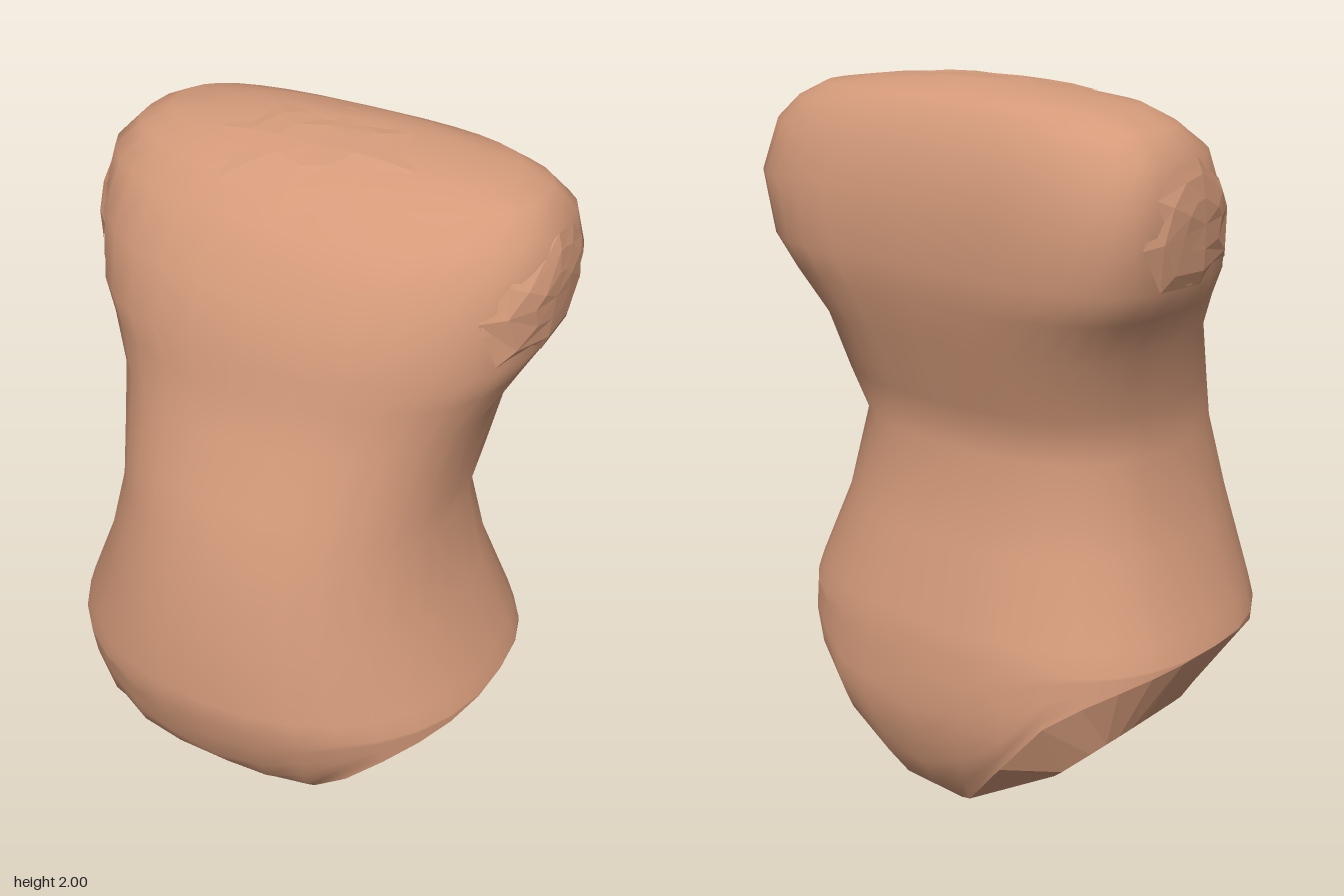
import * as THREE from 'three';

// Horizontal sections: y, half width, front z, back z, centre z, back squareness
const SECTIONS = [
  [0, 0.3, -0.05, -0.33, -0.19, 2.3],
  [0.04, 0.4, 0.1, -0.39, -0.15, 2.3],
  [0.13, 0.52, 0.28, -0.47, -0.1, 2.4],
  [0.35, 0.64, 0.48, -0.535, -0.04, 2.5],
  [0.56, 0.632, 0.54, -0.515, -0.03, 2.5],
  [0.62, 0.61, 0.54, -0.5, -0.03, 2.5],
  [0.83, 0.52, 0.525, -0.44, -0.02, 2.5],
  [1.07, 0.465, 0.465, -0.37, -0.02, 2.6],
  [1.2, 0.485, 0.415, -0.41, -0.06, 2.8],
  [1.36, 0.51, 0.35, -0.455, -0.1, 3],
  [1.48, 0.575, 0.31, -0.49, -0.15, 3.4],
  [1.56, 0.62, 0.3, -0.5, -0.18, 3.8],
  [1.73, 0.638, 0.25, -0.51, -0.2, 4],
  [1.86, 0.62, 0.14, -0.465, -0.2, 3.6],
  [1.92, 0.56, 0.05, -0.435, -0.21, 3.2],
  [1.96, 0.48, -0.02, -0.4, -0.22, 2.8],
  [1.985, 0.3, -0.1, -0.345, -0.23, 2.4],
  [2, 0.1, -0.2, -0.28, -0.24, 2],
];
// Leg opening: x of the cut at each height
const LEG_CUT = [[0, 0], [0.08, 0.11], [0.18, 0.2], [0.27, 0.28], [0.4, 0.38], [0.49, 0.5], [0.56, 0.632]];
const LEG_TOP = 0.56, HALF = 16, COLS = HALF * 2, LOW_ROWS = 6, FRONT_N = 2.2;

function lookup(table, y) {
  let i = 1;
  while (i < table.length - 1 && table[i][0] < y) i++;
  const a = table[i - 1], b = table[i];
  const t = THREE.MathUtils.clamp((y - a[0]) / (b[0] - a[0]), 0, 1);
  return a.map((v, k) => v + (b[k] - v) * t);
}

// Point on the torso at an angle (0 = front, PI/2 = left side) and height
function surface(angle, y) {
  const [, w, zf, zb, zc, nb] = lookup(SECTIONS, y);
  const s = Math.sin(angle), c = Math.cos(angle);
  const n = c >= 0 ? FRONT_N : nb;
  const x = Math.sign(s) * w * Math.abs(s) ** (2 / n);
  const z = zc + (c >= 0 ? zf - zc : zb - zc) * Math.abs(c) ** (2 / n);
  return [Math.abs(s) < 1e-6 ? 0 : x, y, z];
}

// Half width of the torso at a given height and depth
function sideX(y, z) {
  const [, w, zf, zb, zc, nb] = lookup(SECTIONS, y);
  const front = z >= zc, n = front ? FRONT_N : nb;
  const t = (z - zc) / (front ? zf - zc : zb - zc);
  return t >= 1 ? -1 : w * (1 - t ** n) ** (1 / n);
}

// Height of the torso's upper surface above a point
function topY(x, z) {
  let lo = 1.6, hi = 2;
  for (let i = 0; i < 30; i++) {
    const mid = (lo + hi) / 2;
    if (sideX(mid, z) >= Math.abs(x)) lo = mid; else hi = mid;
  }
  return lo;
}

// Lowest height of a column, where it meets the leg opening
function columnStart(angle) {
  let lo = 0, hi = LEG_TOP;
  if (Math.abs(Math.sin(angle)) < 1e-6) return 0;
  for (let i = 0; i < 30; i++) {
    const mid = (lo + hi) / 2;
    if (Math.abs(surface(angle, mid)[0]) > lookup(LEG_CUT, mid)[1]) lo = mid; else hi = mid;
  }
  return lo;
}

function makeGeometry(points, index, faceted) {
  let g = new THREE.BufferGeometry();
  g.setAttribute('position', new THREE.Float32BufferAttribute(points.flat(), 3));
  g.setIndex(index);
  if (faceted) g = g.toNonIndexed();
  g.computeVertexNormals();
  return g;
}

// Smooth body skin
function torsoGeometry() {
  const points = [], index = [];
  const upper = SECTIONS.map(s => s[0]).filter(y => y > LEG_TOP);
  const rows = LOW_ROWS + 1 + upper.length;
  for (let i = 0; i < rows; i++) {
    for (let j = 0; j < COLS; j++) {
      const angle = j / COLS * Math.PI * 2, y0 = columnStart(angle);
      const y = i <= LOW_ROWS ? y0 + (LEG_TOP - y0) * i / LOW_ROWS : upper[i - LOW_ROWS - 1];
      points.push(surface(angle, y));
    }
  }
  for (let i = 0; i < rows - 1; i++) {
    for (let j = 0; j < COLS; j++) {
      const k = (j + 1) % COLS, a = i * COLS + j, b = i * COLS + k;
      index.push(a, b, b + COLS, a, b + COLS, a + COLS);
    }
  }
  const pole = points.push([0, 2, -0.24]) - 1, last = (rows - 1) * COLS;
  for (let j = 0; j < COLS; j++) index.push(last + j, last + (j + 1) % COLS, pole);
  return makeGeometry(points, index, false);
}

// Faceted cap from closed loops (outermost first) ending in a centre point
function capGeometry(loops, centre, flip) {
  const n = loops[0].length, points = [...loops.flat(), centre], index = [];
  const tri = (a, b, c) => flip ? index.push(a, c, b) : index.push(a, b, c);
  loops.forEach((_, r) => {
    for (let j = 0; j < n; j++) {
      const a = r * n + j, b = r * n + (j + 1) % n;
      if (r === loops.length - 1) tri(a, b, points.length - 1);
      else {
        tri(a, b, b + n);
        tri(a, b + n, a + n);
      }
    }
  });
  return makeGeometry(points, index, true);
}

// Shallow dome that closes a leg opening
function legCap(side) {
  const rim = [];
  for (let j = 0; j <= HALF; j++) {
    const angle = j / HALF * Math.PI;
    rim.push(surface(angle, columnStart(angle)));
  }
  const zf = rim[0][2], zb = rim[HALF][2];
  for (let k = 1; k < 4; k++) rim.push([0, 0, zb + (zf - zb) * k / 4]);
  const inner = rim.map(([, y, z]) => {
    const a = Math.atan2((y - 0.28) / 0.28, (z + 0.05) / 0.48);
    return [0.405 + 0.125 * Math.sin(a), 0.26 + 0.115 * Math.sin(a), -0.14 + 0.235 * Math.cos(a)];
  });
  const mirror = p => [p[0] * side, p[1], p[2]];
  return capGeometry([rim.map(mirror), inner.map(mirror)], mirror([0.405, 0.255, -0.14]), side > 0);
}

// Faceted patch over an arm joint
function armCap(side) {
  const rim = [[1.86, -0.17], [1.78, 0.0], [1.71, 0.08], [1.58, 0.04], [1.55, -0.14],
    [1.56, -0.3], [1.67, -0.37], [1.78, -0.33], [1.845, -0.26]];
  const at = (y, z, lift) => [side * (sideX(y, z) + lift), y, z];
  const loop = (s, lift) => rim.map(([y, z]) => at(1.7 + (y - 1.7) * s, -0.15 + (z + 0.15) * s, lift));
  return capGeometry([loop(1, 0.002), loop(0.75, 0.009), loop(0.4, 0.008)], at(1.7, -0.15, 0.005), side < 0);
}

// Faceted patch over the neck joint
function neckCap() {
  const loop = (s, lift) => Array.from({ length: 8 }, (_, k) => {
    const a = k / 8 * Math.PI * 2;
    const x = 0.27 * s * Math.sin(a), z = -0.09 + 0.2 * s * Math.cos(a);
    return [x, Math.min(topY(x, z) + lift, 2), z];
  });
  return capGeometry([loop(1, 0.002), loop(0.7, 0.006), loop(0.4, 0.006)], [0, topY(0, -0.09) + 0.002, -0.09], false);
}

export function createModel() {
  const skin = new THREE.MeshStandardMaterial({ color: 0xd49a7a });
  skin.name = 'skin';
  const group = new THREE.Group();
  group.name = 'torso';
  const add = (name, geometry) => {
    const mesh = new THREE.Mesh(geometry, skin);
    mesh.name = name;
    group.add(mesh);
  };
  add('body', torsoGeometry());
  add('neckCap', neckCap());
  for (const [label, side] of [['left', 1], ['right', -1]]) {
    add(label + 'LegCap', legCap(side));
    add(label + 'ArmCap', armCap(side));
  }
  return group;
}
